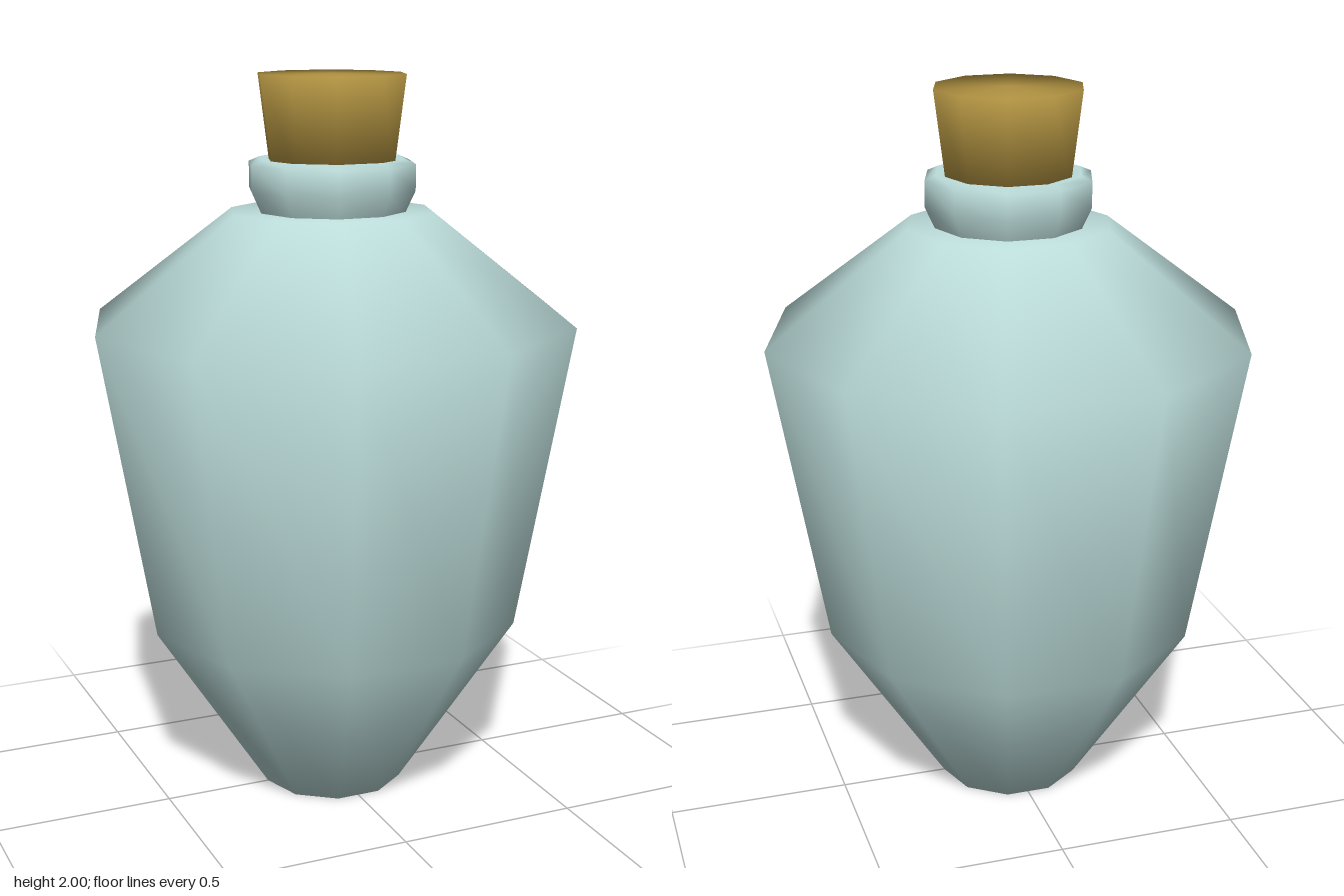
import * as THREE from 'three';

const SIDES = 10;

// Ten-sided turned part with smooth normals; a corner points along +x.
function turned(name, profile, material) {
  const points = profile.map(([r, y]) => new THREE.Vector2(r, y));
  const mesh = new THREE.Mesh(new THREE.LatheGeometry(points, SIDES, Math.PI / 2), material);
  mesh.name = name;
  return mesh;
}

export function createModel() {
  const glass = new THREE.MeshStandardMaterial({ color: 0xbcdddb });
  glass.name = 'pale glass';
  const corkBrown = new THREE.MeshStandardMaterial({ color: 0xae9040 });
  corkBrown.name = 'cork brown';

  const group = new THREE.Group();
  group.name = 'corkedBottle';

  // Tapered body with a sloping shoulder
  group.add(turned('body', [
    [0, 0], [0.2, 0], [0.522, 0.495], [0.67, 1.34], [0.28, 1.638], [0, 1.638],
  ], glass));

  // Short neck flaring into a lip
  group.add(turned('neckLip', [
    [0.2, 1.63], [0.23, 1.695], [0.23, 1.765], [0.2, 1.778], [0.16, 1.77],
  ], glass));

  // Stopper, wider at the top
  group.add(turned('cork', [
    [0, 1.74], [0.17, 1.74], [0.203, 2], [0, 2],
  ], corkBrown));

  return group;
}
